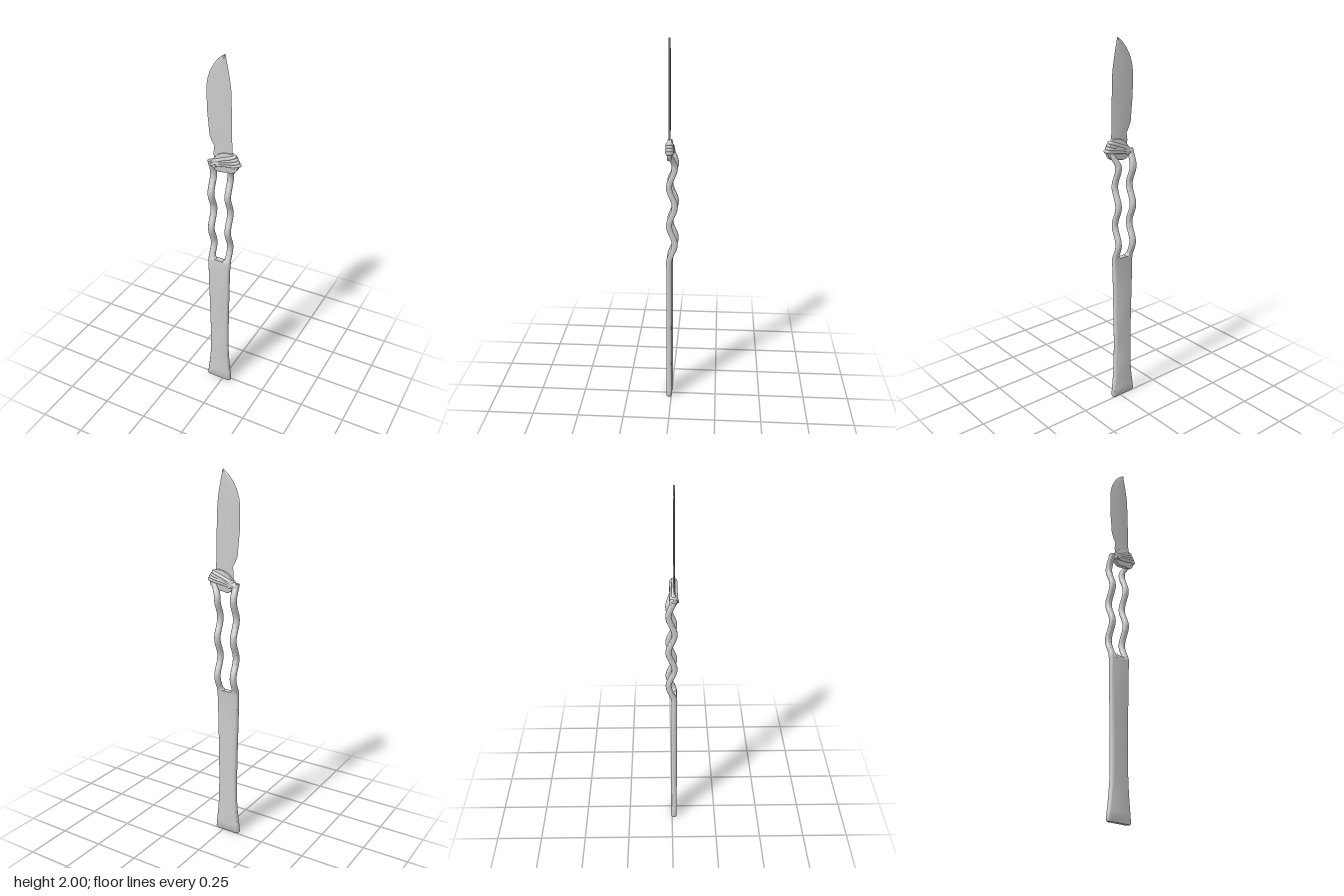
import * as THREE from 'three';
import { toCreasedNormals } from 'three/addons/utils/BufferGeometryUtils.js';

const material = new THREE.MeshStandardMaterial({ color: 0xcccccc, side: THREE.DoubleSide });

// Rounded bar outline in plan, counter-clockwise seen from above.
function barRing({ x0, x1, z, h }) {
  const r = Math.min(h * 0.85, (x1 - x0) / 2), pts = [];
  for (let q = 0; q < 4; q++) {
    const sx = q === 0 || q === 3 ? 1 : -1, sz = q < 2 ? -1 : 1;
    const cx = sx > 0 ? x1 - r : x0 + r, cz = z + sz * (h - r);
    for (let i = 0; i <= 4; i++) {
      const a = (q + i / 4) * Math.PI / 2;
      pts.push([cx + r * Math.cos(a), cz - r * Math.sin(a)]);
    }
  }
  return pts;
}

// Thin lens outline for the blade: sharp at both edges.
function lensRing({ x0, x1, z, h }) {
  const at = t => x0 + (x1 - x0) * t;
  return [[at(1), z], [at(0.7), z - h], [at(0.3), z - h * 0.8], [at(0), z],
    [at(0.3), z + h * 0.8], [at(0.7), z + h]];
}

// Skin a stack of sections from bottom to top and close both ends.
function loft(name, sections, ring, crease = 0.7) {
  const pos = [], idx = [], rings = sections.map(ring), n = rings[0].length;
  rings.forEach((pts, j) => pts.forEach(p => pos.push(p[0], sections[j].y, p[1])));
  for (let j = 0; j < rings.length - 1; j++) {
    for (let i = 0; i < n; i++) {
      const a = j * n + i, b = j * n + (i + 1) % n;
      idx.push(a, b, b + n, a, b + n, a + n);
    }
  }
  const top = (rings.length - 1) * n;
  for (let i = 1; i < n - 1; i++) idx.push(0, i + 1, i, top, top + i, top + i + 1);
  const geo = new THREE.BufferGeometry();
  geo.setAttribute('position', new THREE.Float32BufferAttribute(pos, 3));
  geo.setIndex(idx);
  return mesh(name, toCreasedNormals(geo, crease));
}

function mesh(name, geo) {
  const m = new THREE.Mesh(geo, material);
  m.name = name;
  return m;
}

function tube(name, points, radius, closed) {
  const curve = new THREE.CatmullRomCurve3(points.map(p => new THREE.Vector3(...p)), closed, 'centripetal');
  return mesh(name, new THREE.TubeGeometry(curve, 48, radius, 10, closed));
}

const wave = y => -0.003 + 0.015 * Math.cos((y - 0.83) / 0.21 * Math.PI * 2);

// Wavy prong; its inner edge swells into a fillet at the foot of the slot.
function prong(name, x0, x1, inner, lean) {
  const sections = [], r = 0.02;
  for (let i = 0; i <= 80; i++) {
    const y = 0.83 + i * 0.61 / 80;
    const d = THREE.MathUtils.clamp((y - 0.85) / r, 0, 1);
    const fillet = r * (1 - Math.sqrt(1 - (1 - d) ** 2));
    const shift = lean * THREE.MathUtils.smoothstep(y, 1.36, 1.44);
    sections.push({
      y, z: wave(y), h: 0.0155,
      x0: x0 + shift - (inner < 0 ? fillet : 0),
      x1: x1 + shift + (inner > 0 ? fillet : 0),
    });
  }
  return loft(name, sections, barRing);
}

export function createModel() {
  const group = new THREE.Group();

  // Flat handle, flared at the butt
  const handle = [
    [0, -0.095, 0.045, 0.011], [0.008, -0.1, 0.05, 0.015], [0.05, -0.095, 0.046, 0.015],
    [0.12, -0.086, 0.039, 0.015], [0.2, -0.079, 0.033, 0.015], [0.35, -0.078, 0.031, 0.015],
    [0.55, -0.082, 0.034, 0.015], [0.75, -0.087, 0.038, 0.015], [0.83, -0.088, 0.041, 0.015],
  ].map(([y, x0, x1, h]) => ({ y, x0, x1, h, z: 0.012 }));
  handle.push({ y: 0.851, x0: -0.088, x1: 0.041, h: 0.015, z: wave(0.851) });
  group.add(loft('handle', handle, barRing));

  // Two wavy prongs either side of the slot
  group.add(prong('rightProng', -0.088, -0.054, 1, 0));
  group.add(prong('leftProng', 0.01, 0.042, -1, 0.03));

  // Thin pointed blade
  const blade = [
    [1.42, -0.05, 0.045], [1.49, -0.055, 0.05], [1.525, -0.05, 0.05], [1.55, -0.065, 0.049],
    [1.58, -0.077, 0.048], [1.65, -0.083, 0.047], [1.71, -0.089, 0.046], [1.83, -0.09, 0.042],
    [1.87, -0.084, 0.037], [1.91, -0.07, 0.03], [1.945, -0.05, 0.023], [1.975, -0.026, 0.016],
    [1.99, -0.008, 0.013], [2.0, 0.007, 0.01],
  ].map(([y, x0, x1]) => ({ y, x0, x1, z: 0.01, h: 0.005 }));
  group.add(loft('blade', blade, lensRing, 0.4));

  // Rounded collar under the wrapping
  const outline = [[-0.055, 1.455], [-0.03, 1.485], [0.01, 1.502], [0.055, 1.5], [0.078, 1.46],
    [0.08, 1.425], [0.055, 1.4], [0.012, 1.395], [-0.03, 1.391], [-0.06, 1.42]];
  const collarCurve = new THREE.SplineCurve([...outline, outline[0]].map(p => new THREE.Vector2(...p)));
  const collarGeo = new THREE.ExtrudeGeometry(new THREE.Shape(collarCurve.getPoints(40)), {
    depth: 0.016, bevelThickness: 0.003, bevelSize: 0.003, bevelOffset: -0.003, bevelSegments: 2,
  });
  collarGeo.translate(0, 0, -0.001);
  group.add(mesh('collar', toCreasedNormals(collarGeo, 0.7)));

  // Slanted strands wrapped round the collar, fanning out to one side
  for (let i = 0; i < 4; i++) {
    const t = i / 3, xl = -0.068 + t * 0.012, xr = 0.089 - t * 0.026;
    const yl = 1.424 + t * 0.02, yr = 1.449 + t * 0.041;
    const p = (s, z) => [xl + (xr - xl) * s, yl + (yr - yl) * s, z];
    group.add(tube('wrapStrand', [p(0, 0.008), p(0.06, 0.017), p(0.5, 0.018), p(0.94, 0.017),
      p(1, 0.008), p(0.94, -0.002), p(0.5, -0.003), p(0.06, -0.002)], 0.0095, true));
  }

  // Prong end folded across the back
  group.add(tube('backFold', [[-0.071, 1.415, -0.001], [-0.068, 1.43, 0.001], [-0.04, 1.436, 0.002],
    [0.02, 1.455, 0.002], [0.07, 1.48, 0.004]], 0.0145, false));

  // Small cross pin
  const pin = mesh('pin', new THREE.CylinderGeometry(0.009, 0.009, 0.046, 16));
  pin.rotation.x = Math.PI / 2;
  pin.position.set(-0.04, 1.425, 0.01);
  group.add(pin);

  return group;
}
